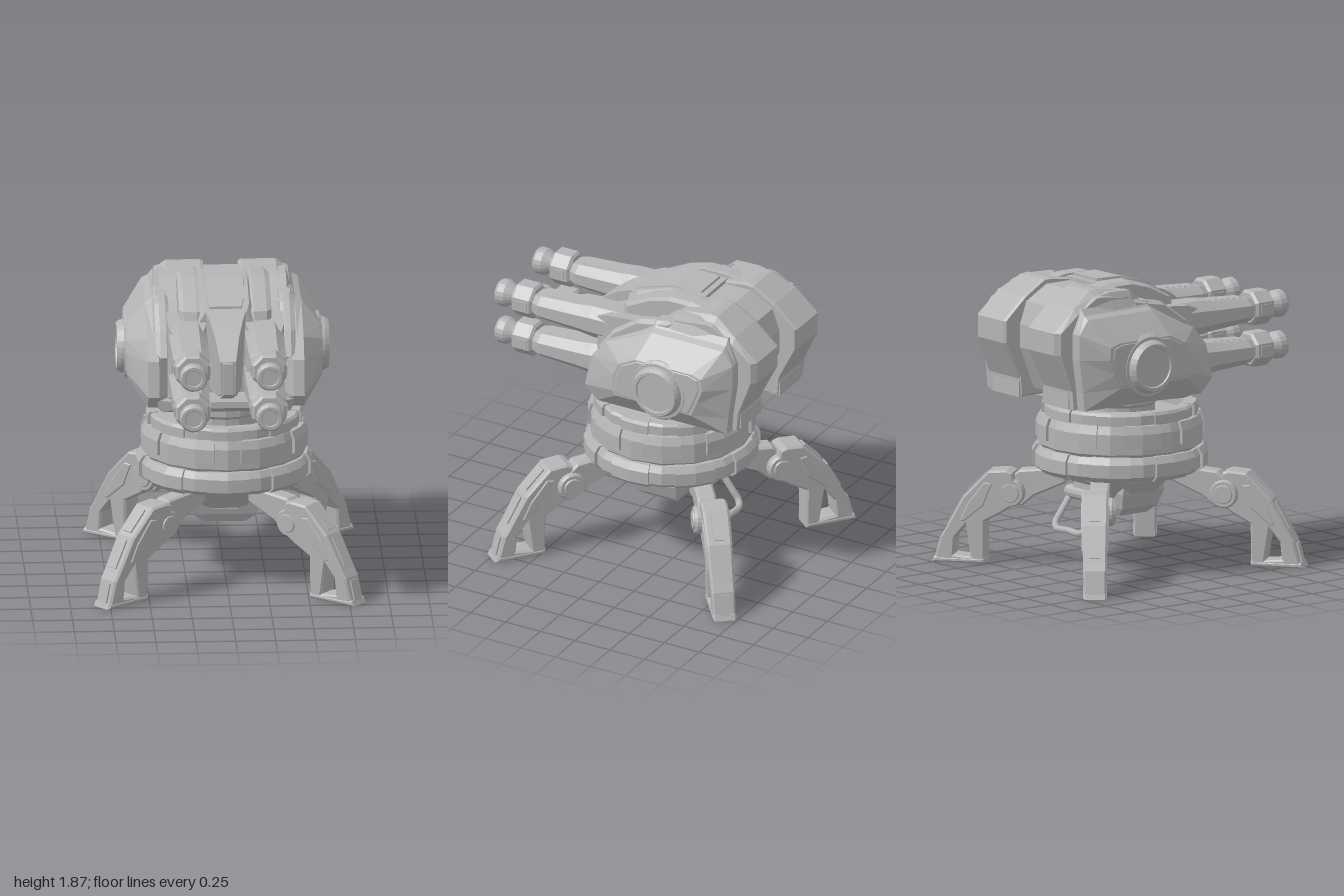
import * as THREE from 'three';

const metal = new THREE.MeshStandardMaterial({ color: 0xb4b4b4 });
metal.name = 'grey metal';

// Flat-shaded solid skinned over rings of [x, y, z] points; the winding is fixed by signed volume
function loft(rings, caps = true) {
  const tris = [], n = rings[0].length;
  for (let i = 0; i < rings.length - 1; i++) {
    for (let j = 0; j < n; j++) {
      const k = (j + 1) % n, a = rings[i], b = rings[i + 1];
      tris.push([a[j], a[k], b[k]], [a[j], b[k], b[j]]);
    }
  }
  if (caps) {
    [rings[0], rings[rings.length - 1]].forEach((r, e) => {
      const c = [0, 1, 2].map((d) => r.reduce((s, p) => s + p[d], 0) / n);
      for (let j = 0; j < n; j++) {
        const k = (j + 1) % n;
        tris.push(e ? [c, r[j], r[k]] : [c, r[k], r[j]]);
      }
    });
  }
  let volume = 0;
  for (const [a, b, c] of tris) {
    volume += a[0] * (b[1] * c[2] - b[2] * c[1]) + a[1] * (b[2] * c[0] - b[0] * c[2]) + a[2] * (b[0] * c[1] - b[1] * c[0]);
  }
  const pos = tris.flatMap(([a, b, c]) => (volume < 0 ? [a, c, b] : [a, b, c]).flat());
  const g = new THREE.BufferGeometry();
  g.setAttribute('position', new THREE.Float32BufferAttribute(pos, 3));
  g.computeVertexNormals();
  return g;
}

// Closed [radius, y] profile swept around y, whole or over an arc
function revolve(profile, sides, a0 = 0, a1 = Math.PI * 2) {
  const rings = [];
  for (let i = 0; i <= sides; i++) {
    const a = a0 + (a1 - a0) * i / sides;
    rings.push(profile.map(([r, y]) => [r * Math.sin(a), y, r * Math.cos(a)]));
  }
  return loft(rings, a1 - a0 < 6.28);
}

// Side profiles of [z, y] placed at successive x values
const sideLoft = (layers, s = 1) => loft(layers.map(([x, p]) => p.map(([z, y]) => [s * x, y, z])));

// Trapezoid sections along z: [z, bottom y, bottom half width, top y, top half width]
const zLoft = (secs, cx = 0) => loft(secs.map(([z, y0, w0, y1, w1]) =>
  [[cx - w0, y0, z], [cx + w0, y0, z], [cx + w1, y1, z], [cx - w1, y1, z]]));

// Shrink a side profile about its middle
function inset(p, f) {
  const c = [0, 1].map((d) => p.reduce((s, q) => s + q[d], 0) / p.length);
  return p.map((q) => [c[0] + (q[0] - c[0]) * f, c[1] + (q[1] - c[1]) * f]);
}

// Lower the part of a side profile above a height
const sink = (p, above, by) => p.map(([z, y]) => [z, y > above ? y - by : y]);

function add(parent, name, geometry, x = 0, y = 0, z = 0) {
  const m = new THREE.Mesh(geometry, metal);
  m.name = name;
  m.position.set(x, y, z);
  parent.add(m);
  return m;
}

function buildBase() {
  const base = new THREE.Group();
  base.name = 'base';
  base.position.z = -0.1;
  add(base, 'baseRing', revolve([[0, 0.62], [0.51, 0.62], [0.545, 0.65], [0.545, 0.73], [0.52, 0.77], [0, 0.77]], 16));
  add(base, 'drum', revolve([[0, 0.77], [0.5, 0.77], [0.52, 0.79], [0.52, 0.92], [0.5, 0.97], [0, 0.97]], 16));
  add(base, 'upperRing', revolve([[0.4, 0.95], [0.485, 0.95], [0.485, 1.03], [0.47, 1.045], [0.4, 1.045]], 16));
  add(base, 'neck', revolve([[0, 0.95], [0.22, 0.95], [0.22, 1.03], [0.24, 1.05], [0.24, 1.16], [0, 1.16]], 16));
  // Clamps, drum plates and ring plates around the base
  for (let i = 0; i < 8; i++) {
    const a = i * Math.PI / 4;
    add(base, 'ringClamp', revolve([[0.45, 0.615], [0.515, 0.615], [0.555, 0.65], [0.555, 0.732], [0.527, 0.775], [0.45, 0.775]], 2, a - 0.24, a + 0.24));
    add(base, 'drumPlate', revolve([[0.47, 0.83], [0.53, 0.83], [0.53, 0.92], [0.51, 0.972], [0.47, 0.972]], 2, a + 0.16, a + 0.62));
    add(base, 'ringPlate', revolve([[0.42, 0.97], [0.492, 0.97], [0.492, 1.03], [0.48, 1.05], [0.42, 1.05]], 2, a - 0.2, a + 0.2));
  }
  // Tapering underside with a keel block
  add(base, 'underside', revolve([[0, 0.62], [0.37, 0.62], [0.34, 0.57], [0.22, 0.45], [0, 0.45]], 8, Math.PI / 8, Math.PI * 2.125));
  const box = (y, w, d) => [[-w, y, -d], [w, y, -d], [w, y, d], [-w, y, d]];
  add(base, 'keel', loft([box(0.54, 0.24, 0.16), box(0.49, 0.24, 0.165), box(0.39, 0.2, 0.14), box(0.335, 0.13, 0.11)]));
  for (const s of [1, -1]) {
    add(base, 'keelPlate', new THREE.BoxGeometry(0.16, 0.04, 0.03), 0, 0.45, s * 0.15);
  }
  // Rear carrying handle
  const pts = [[-0.15, 0.47], [-0.155, 0.34], [-0.155, 0.29], [-0.125, 0.26], [0, 0.26], [0.125, 0.26], [0.155, 0.29], [0.155, 0.34], [0.15, 0.47]];
  const path = new THREE.CatmullRomCurve3(pts.map(([x, y]) => new THREE.Vector3(x, y, -0.26 - (0.47 - y) * 0.72)));
  add(base, 'handle', new THREE.TubeGeometry(path, 40, 0.022, 8));
  add(base, 'handlePivot', revolve([[0, -0.18], [0.04, -0.18], [0.045, -0.16], [0.045, 0.16], [0.04, 0.18], [0, 0.18]], 12), 0, 0.47, -0.265).rotation.z = Math.PI / 2;
  add(base, 'handleBracket', new THREE.BoxGeometry(0.2, 0.12, 0.12), 0, 0.52, -0.23);
  for (const sx of [1, -1]) for (const sz of [1, -1]) base.add(buildLeg(sx, sz));
  return base;
}

// Outline in (outward, up), extruded across the leg and widening upward
function slab(outline, width, hole) {
  const toPath = (P, pts) => new P(pts.map(([x, y]) => new THREE.Vector2(x, y)));
  const shape = toPath(THREE.Shape, outline);
  if (hole) shape.holes.push(toPath(THREE.Path, hole));
  const b = 0.012;
  const g = new THREE.ExtrudeGeometry(shape, { depth: width - 2 * b, bevelSize: b, bevelOffset: -b, bevelThickness: b, bevelSegments: 1 })
    .translate(0, 0, -width / 2 + b);
  const p = g.attributes.position;
  for (let i = 0; i < p.count; i++) p.setZ(i, p.getZ(i) * (1 + 0.35 * p.getY(i)));
  g.computeVertexNormals();
  return g;
}

function buildLeg(sx, sz) {
  const leg = new THREE.Group();
  leg.name = 'leg';
  // The leg line is turned a little towards the side and ends at the foot
  const dir = [Math.cos(0.672), Math.sin(0.672)], inward = -sx * sz;
  leg.position.set(sx * (0.805 - 1.14 * dir[0]), 0, sz * (0.835 - 1.14 * dir[1]));
  leg.rotation.y = Math.atan2(-sz * dir[1], sx * dir[0]);
  add(leg, 'hipArm', slab([[0.3, 0.63], [0.6, 0.6], [0.68, 0.53], [0.66, 0.39], [0.58, 0.37], [0.5, 0.44], [0.3, 0.53]], 0.1), 0, 0, inward * 0.03);
  add(leg, 'limb', slab(
    [[0.63, 0.59], [0.67, 0.605], [0.785, 0.595], [0.945, 0.43], [1.06, 0.22], [1.09, 0.17], [1.135, 0], [0.81, 0], [0.81, 0.27], [0.7, 0.33], [0.61, 0.39], [0.6, 0.46]],
    0.14, [[0.93, 0.25], [0.9, 0.04], [1.01, 0.05], [1, 0.16]]));
  add(leg, 'footSole', slab([[0.81, 0], [1.15, 0], [1.135, 0.035], [0.81, 0.035]], 0.148));
  // Raised plates down the outer edge: [outward, up, length, tilt]
  for (const [x, y, len, tilt] of [[0.865, 0.513, 0.17, 2.34], [1.003, 0.325, 0.19, 2.07], [1.112, 0.09, 0.13, 1.83]]) {
    add(leg, 'limbPlate', new THREE.BoxGeometry(len, 0.02, 0.07), x, y, 0).rotation.z = tilt;
  }
  add(leg, 'kneePlate', slab([[0.75, 0.52], [0.81, 0.53], [0.92, 0.39], [0.975, 0.27], [0.94, 0.26], [0.81, 0.37]], 0.152));
  const hub = revolve([[0, -0.11], [0.055, -0.11], [0.06, -0.1], [0.08, -0.1], [0.09, -0.085], [0.09, 0.085], [0.08, 0.1], [0.06, 0.1], [0.055, 0.11], [0, 0.11]], 20);
  add(leg, 'hipJoint', hub, 0.645, 0.46, inward * 0.02).rotation.x = Math.PI / 2;
  return leg;
}

function buildGun(x, y) {
  const gun = new THREE.Group();
  gun.name = 'gun';
  gun.position.set(x, y, 0);
  // Chamfered barrel body, wider than it is tall: [z, half width, half height]
  const corners = [[1, 0.45], [0.55, 1], [-0.55, 1], [-1, 0.45], [-1, -0.45], [-0.55, -1], [0.55, -1], [1, -0.45]];
  add(gun, 'barrel', loft([[-0.1, 0.12, 0.115], [0.3, 0.12, 0.108], [0.4, 0.118, 0.095], [0.67, 0.115, 0.078], [0.73, 0.085, 0.065]]
    .map(([z, w, h]) => corners.map(([cx, cy]) => [cx * w, cy * h, z]))));
  // Parts revolved about the barrel axis; y in the profile is forward
  const part = (name, profile, sides) => add(gun, name,
    revolve(profile, sides, Math.PI / sides, Math.PI / sides + Math.PI * 2).rotateX(Math.PI / 2));
  part('collar', [[0, 0.72], [0.1, 0.72], [0.116, 0.735], [0.116, 0.85], [0.1, 0.865], [0, 0.865]], 8);
  part('muzzle', [[0, 0.85], [0.058, 0.85], [0.058, 0.885], [0.086, 0.935], [0.088, 0.98], [0.075, 1], [0.055, 1], [0.05, 0.99], [0, 0.99]], 20);
  add(gun, 'barrelRail', new THREE.BoxGeometry(0.08, 0.02, 0.3), 0, 0.08, 0.5).rotation.x = 0.06;
  for (const s of [1, -1]) add(gun, 'collarLug', new THREE.BoxGeometry(0.016, 0.06, 0.08), s * 0.107, 0, 0.79);
  return gun;
}

function buildTurret() {
  const turret = new THREE.Group();
  turret.name = 'turret';
  // Central hull, spine and floor
  add(turret, 'hull', sideLoft([-0.36, 0.36].map((x) => [x, [[0.02, 1.15], [0.02, 1.5], [-0.05, 1.62], [-0.2, 1.7], [-0.7, 1.72], [-0.76, 1.6], [-0.7, 1.2], [0, 1.13]]])));
  add(turret, 'spine', sideLoft([-0.13, 0.13].map((x) => [x, [[-0.1, 1.76], [-0.38, 1.83], [-0.6, 1.83], [-0.76, 1.74], [-0.81, 1.6], [-0.81, 1.45], [-0.7, 1.18], [-0.1, 1.14]]])));
  add(turret, 'floor', zLoft([[-0.62, 1.11, 0.3, 1.18, 0.4], [0.08, 1.1, 0.42, 1.18, 0.48], [0.2, 1.11, 0.4, 1.19, 0.44], [0.33, 1.17, 0.3, 1.21, 0.32]]));
  // Sloping hood, its raised panel and the nose
  add(turret, 'hood', zLoft([[-0.42, 1.7, 0.2, 1.855, 0.14], [-0.18, 1.7, 0.25, 1.855, 0.15], [0.06, 1.58, 0.27, 1.775, 0.15], [0.13, 1.54, 0.25, 1.73, 0.13]]));
  add(turret, 'hoodPanel', zLoft([[-0.38, 1.83, 0.13, 1.872, 0.115], [-0.2, 1.83, 0.13, 1.868, 0.125], [0.03, 1.75, 0.125, 1.797, 0.115], [0.1, 1.7, 0.11, 1.765, 0.1]]));
  add(turret, 'nose', zLoft([[0.05, 1.24, 0.1, 1.76, 0.14], [0.13, 1.24, 0.1, 1.745, 0.125], [0.23, 1.24, 0.075, 1.7, 0.1], [0.33, 1.25, 0.06, 1.63, 0.075], [0.46, 1.3, 0.045, 1.51, 0.05]]));
  add(turret, 'nosePlate', zLoft([[0.38, 1.25, 0.045, 1.54, 0.045], [0.475, 1.3, 0.03, 1.5, 0.03]]));

  const block = [[-0.22, 1.7], [-0.36, 1.84], [-0.42, 1.845], [-0.57, 1.865], [-0.62, 1.86], [-0.77, 1.77], [-0.93, 1.63], [-0.93, 1.49], [-0.81, 1.25], [-0.8, 1.13], [-0.1, 1.13]];
  const blockSide = sink(block, 1.72, 0.04).map(([z, y]) => [Math.max(z, -0.9), y]);
  const shell = [[0.25, 1.22], [0.2, 1.44], [0.1, 1.56], [-0.23, 1.77], [-0.74, 1.77], [-0.81, 1.62], [-0.81, 1.46], [-0.78, 1.25], [-0.77, 1.13], [0.16, 1.13]];
  const face = [[-0.01, 1.3], [-0.02, 1.42], [-0.06, 1.5], [-0.18, 1.56], [-0.58, 1.56], [-0.65, 1.54], [-0.66, 1.46], [-0.62, 1.36], [-0.58, 1.27], [-0.04, 1.27]];
  const inner = shell.map(([z, y]) => [z > 0 ? z * 0.4 : z, y]);
  const fin = [[-0.16, 1.68], [-0.34, 1.84], [-0.5, 1.845], [-0.62, 1.82], [-0.7, 1.76], [-0.65, 1.6]];
  const blade = [[0.2, 1.46], [0.1, 1.6], [-0.1, 1.74], [-0.36, 1.79], [-0.36, 1.6], [0.05, 1.4]];
  const brow = [[0.14, 1.6], [0.1, 1.73], [-0.08, 1.82], [-0.24, 1.865], [-0.4, 1.865], [-0.58, 1.84], [-0.58, 1.6], [0.05, 1.52]];
  for (const s of [1, -1]) {
    add(turret, 'rearBlock', sideLoft([[0.11, inset(block, 0.97)], [0.13, block], [0.345, block], [0.385, sink(block, 1.8, 0.03)], [0.42, blockSide]], s));
    add(turret, 'sideArmour', sideLoft([[0.34, inner], [0.42, shell], [0.45, sink(shell, 1.7, 0.04)], [0.49, sink(shell, 1.7, 0.06)], [0.61, face]], s));
    add(turret, 'armourFin', sideLoft([[0.345, fin], [0.4, fin], [0.45, sink(fin, 1.65, 0.12)]], s));
    add(turret, 'armourBlade', sideLoft([[0.35, inset(blade, 0.9)], [0.37, blade], [0.41, blade], [0.44, inset(blade, 0.85)]], s));
    add(turret, 'hoodRail', sideLoft([[0.16, inset(brow, 0.97)], [0.18, brow], [0.26, inset(brow, 0.97)], [0.29, inset(brow, 0.85)]], s));
    // Armour trim: rear bumper and side plate
    add(turret, 'rearBumper', new THREE.BoxGeometry(0.26, 0.1, 0.08), s * 0.25, 1.18, -0.77);
    add(turret, 'sidePlate', sideLoft([[0.6, face], [0.615, inset(face, 0.9)]], s));
    // Round side hub
    const hub = revolve([[0, 0.5], [0.205, 0.5], [0.205, 0.6], [0.19, 0.618], [0.17, 0.62], [0.165, 0.64], [0.15, 0.665], [0.13, 0.665], [0.125, 0.655], [0, 0.655]], 28);
    add(turret, 'sideHub', hub, 0, 1.385, -0.345).rotation.z = -s * Math.PI / 2;
    // Barrel housing and the stacked pair of guns
    add(turret, 'gunHousing', zLoft([[-0.05, 1.17, 0.12, 1.69, 0.12], [0.16, 1.18, 0.12, 1.67, 0.12], [0.24, 1.22, 0.1, 1.64, 0.1]], s * 0.245));
    for (const y of [1.3, 1.565]) turret.add(buildGun(s * 0.24, y));
  }
  return turret;
}

export function createModel() {
  const model = new THREE.Group();
  model.name = 'walkerTurret';
  model.add(buildBase(), buildTurret());
  return model;
}
